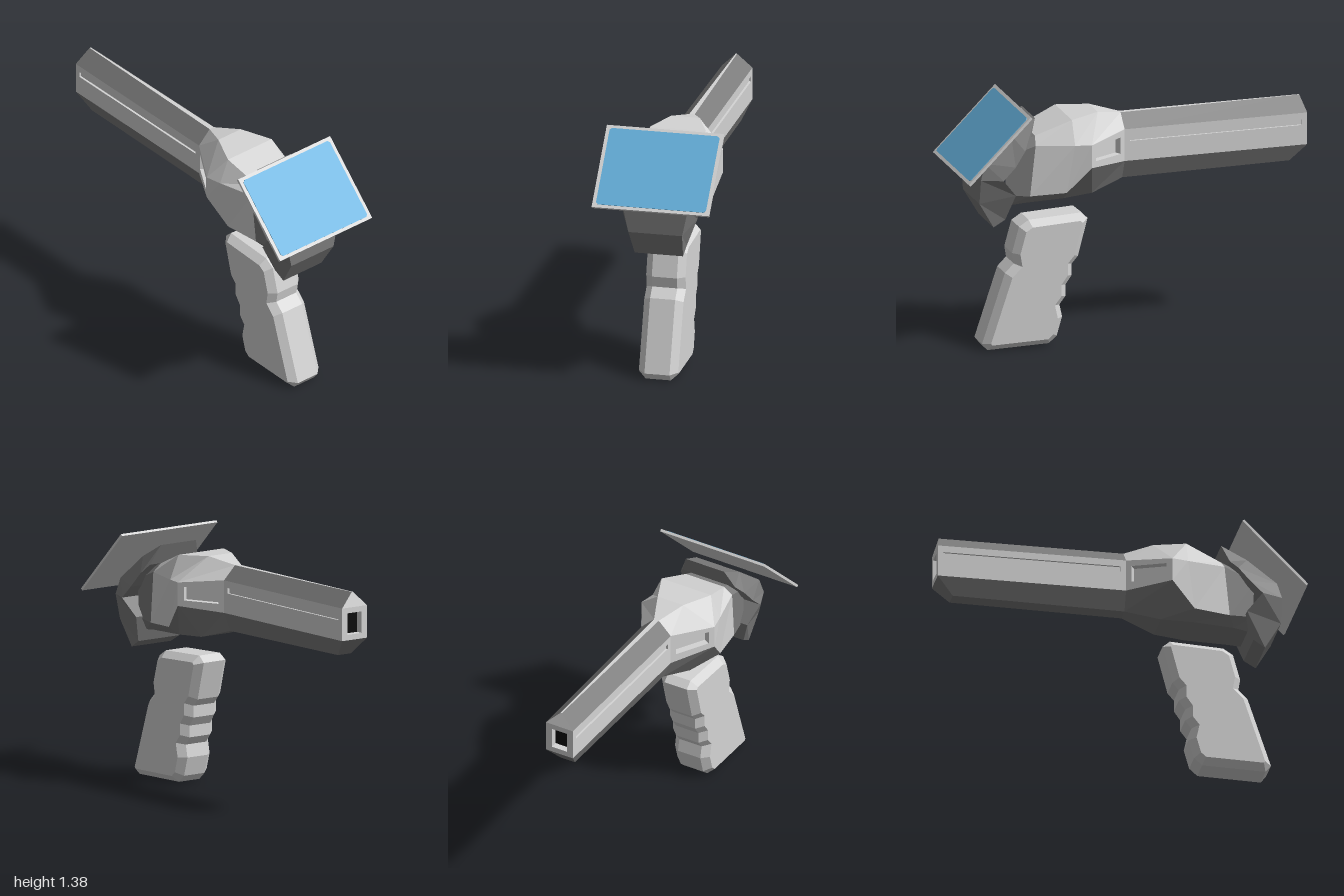
import * as THREE from 'three';

const material = (name, color) => {
  const m = new THREE.MeshStandardMaterial({ color });
  m.name = name;
  return m;
};

// --- helpers: a surface is a list of polygons, each a list of [x, y, z] corners ---
const add = (a, b) => a.map((v, i) => v + b[i]);
const mix = (a, b, t) => a.map((v, i) => v + (b[i] - v) * t);
const flip = ([x, y, z]) => [-x, y, z];
const mirror = (polys) => polys.map((p) => p.map(flip).reverse());
const both = (polys) => [...polys, ...mirror(polys)];
const ring = (half) => [...half, ...half.map(flip).reverse()];

// flat-shaded mesh, polygons fanned into triangles
function polyMesh(name, polys, mat) {
  const pos = [];
  for (const p of polys)
    for (let i = 1; i < p.length - 1; i++) pos.push(...p[0], ...p[i], ...p[i + 1]);
  const g = new THREE.BufferGeometry();
  g.setAttribute('position', new THREE.Float32BufferAttribute(pos, 3));
  g.computeVertexNormals();
  const m = new THREE.Mesh(g, mat);
  m.name = name;
  return m;
}

// joins mirrored half sections; bands run 0 = top, 1.. = down the side, last = bottom
function loft(sections, bands) {
  const out = [], n = sections[0].length;
  for (let k = 0; k < sections.length - 1; k++) {
    const a = ring(sections[k]), b = ring(sections[k + 1]);
    for (let i = 0; i < 2 * n; i++) {
      const j = (i + 1) % (2 * n);
      const band = i < n ? i + 1 : 2 * n - 1 - i;
      if (bands.includes(band)) out.push([a[i], b[i], b[j], a[j]]);
    }
  }
  return out;
}

// quad with a sunken rectangular pocket
function pocket(outer, u0, u1, v0, v1, depth) {
  const at = (u, v) => mix(mix(outer[0], outer[1], u), mix(outer[3], outer[2], u), v);
  const h = [at(u0, v0), at(u1, v0), at(u1, v1), at(u0, v1)];
  const f = h.map((p) => add(p, depth));
  const frame = [];
  for (let i = 0; i < 4; i++) {
    const j = (i + 1) % 4;
    frame.push([outer[i], outer[j], h[j], h[i]], [h[i], h[j], f[j], f[i]]);
  }
  return { frame, floor: [f] };
}

export function createModel() {
  const light = material('light grey', 0xd4d4d4);
  const dark = material('dark grey', 0x7c7c7c);
  const blue = material('screen blue', 0x64b0dc);
  const black = material('bore black', 0x0c0c0c);
  const model = new THREE.Group();
  model.name = 'scannerPistol';

  // half sections: ridge, upper side, lower side, belly
  const muzzle = [[.004, 1.27, -.98], [.085, 1.19, -1], [.085, 1.01, -1], [.045, .915, -.91]];
  const joint = [[.015, 1.265, .04], [.09, 1.19, .04], [.09, 1.01, .04], [.045, .905, .04]];
  const wide = [[.08, 1.3, .19], [.23, 1.16, .27], [.23, 1.03, .27], [.1, .85, .23]];
  const middle = [[.155, 1.29, .36], [.212, 1.16, .36], [.19, .89, .4], [.12, .84, .4]];
  const rear = [[.12, 1.21, .56], [.165, 1.165, .57], [.16, .88, .6], [.11, .83, .63]];
  const neck = [[.1, 1.15, .72], [.14, 1.1, .74], [.14, .89, .73], [.1, .82, .71]];

  // barrel
  const barrel = new THREE.Group();
  barrel.name = 'barrel';
  const groove = pocket([joint[2], muzzle[2], muzzle[1], joint[1]], .03, .97, .62, .79, [-.012, 0, 0]);
  const [T, U, L, B] = muzzle;
  const bore = pocket([flip(L), L, U, flip(U)].reverse(), .22, .78, .17, .83, [0, 0, .04]);
  barrel.add(
    polyMesh('barrelRoofAndBelly', loft([muzzle, joint], [1, 3, 4]), dark),
    polyMesh('barrelRidge', loft([muzzle, joint], [0]), light),
    polyMesh('barrelSides', both([...groove.frame, ...groove.floor]), light),
    polyMesh('muzzleFace', [...bore.frame, [T, U, flip(U), flip(T)]], light),
    polyMesh('muzzleBore', bore.floor, black),
    polyMesh('muzzleChamfer', [[L, B, flip(B), flip(L)]], dark));
  model.add(barrel);

  // body
  const body = new THREE.Group();
  body.name = 'body';
  const vent = pocket([wide[2], joint[2], joint[1], wide[1]], .13, .88, .26, .8, [-.035, 0, .02]);
  body.add(
    polyMesh('bodyTop', loft([joint, wide, middle, rear], [0, 1]), light),
    polyMesh('bodySides', loft([wide, middle, rear], [2]), light),
    polyMesh('bodyBelly', loft([joint, wide, middle, rear], [3, 4]), dark),
    polyMesh('sideVents', both([...vent.frame, ...vent.floor]), light),
    polyMesh('neck', loft([rear, neck], [0, 1, 2, 3, 4]), dark));
  model.add(body);

  // collar: front and back corner of each level, from top to bottom
  const collar = [
    [[.12, 1.31, .56], [.165, 1.2, .6]],
    [[.135, 1.23, .7], [.2, 1.15, .64]],
    [[.165, 1.09, .86], [.22, 1.07, .7]],
    [[.18, 1.0, .885], [.225, 1.0, .77]],
    [[.15, .86, .885], [.19, .9, .69]],
    [[.135, .715, .8], [.14, .755, .735]],
  ];
  model.add(polyMesh('rearCollar',
    [...loft(collar, [0, 1, 2]), ring(collar[0]), ring(collar[5]).reverse()], dark));

  // tilted screen
  const screen = new THREE.Group();
  screen.name = 'screen';
  const frame = new THREE.Mesh(new THREE.BoxGeometry(.655, .5, .014), light);
  frame.name = 'screenFrame';
  const w = .307, h = .232, c = .012;
  const glassShape = new THREE.Shape([
    [w - c, -h], [w, c - h], [w, h - c], [w - c, h],
    [c - w, h], [-w, h - c], [-w, c - h], [c - w, -h],
  ].map(([x, y]) => new THREE.Vector2(x, y)));
  const glass = new THREE.Mesh(
    new THREE.ExtrudeGeometry(glassShape, { depth: .003, bevelEnabled: false }), blue);
  glass.name = 'screenGlass';
  glass.position.z = .007;
  screen.add(frame, glass);
  screen.position.set(0, 1.2, .819);
  screen.rotation.x = -Math.PI / 4;
  model.add(screen);

  // grip: side outline (z, y) with finger notches, chamfered all round
  const outline = [
    [.845, .04], [.715, .43], [.665, .48], [.675, .54], [.635, .685], [.58, .72],
    [.285, .735], [.245, .7], [.3, .49], [.335, .45], [.335, .385], [.37, .335],
    [.37, .27], [.405, .225], [.39, .155], [.42, .05], [.465, .01], [.815, .002],
  ];
  const gripGeo = new THREE.ExtrudeGeometry(
    new THREE.Shape(outline.map(([z, y]) => new THREE.Vector2(z, y))),
    { depth: .14, bevelThickness: .04, bevelSize: .035, bevelOffset: -.035, bevelSegments: 1 });
  gripGeo.translate(0, 0, -.07).rotateY(-Math.PI / 2);
  const grip = new THREE.Mesh(gripGeo, light);
  grip.name = 'grip';
  model.add(grip);

  return model;
}
